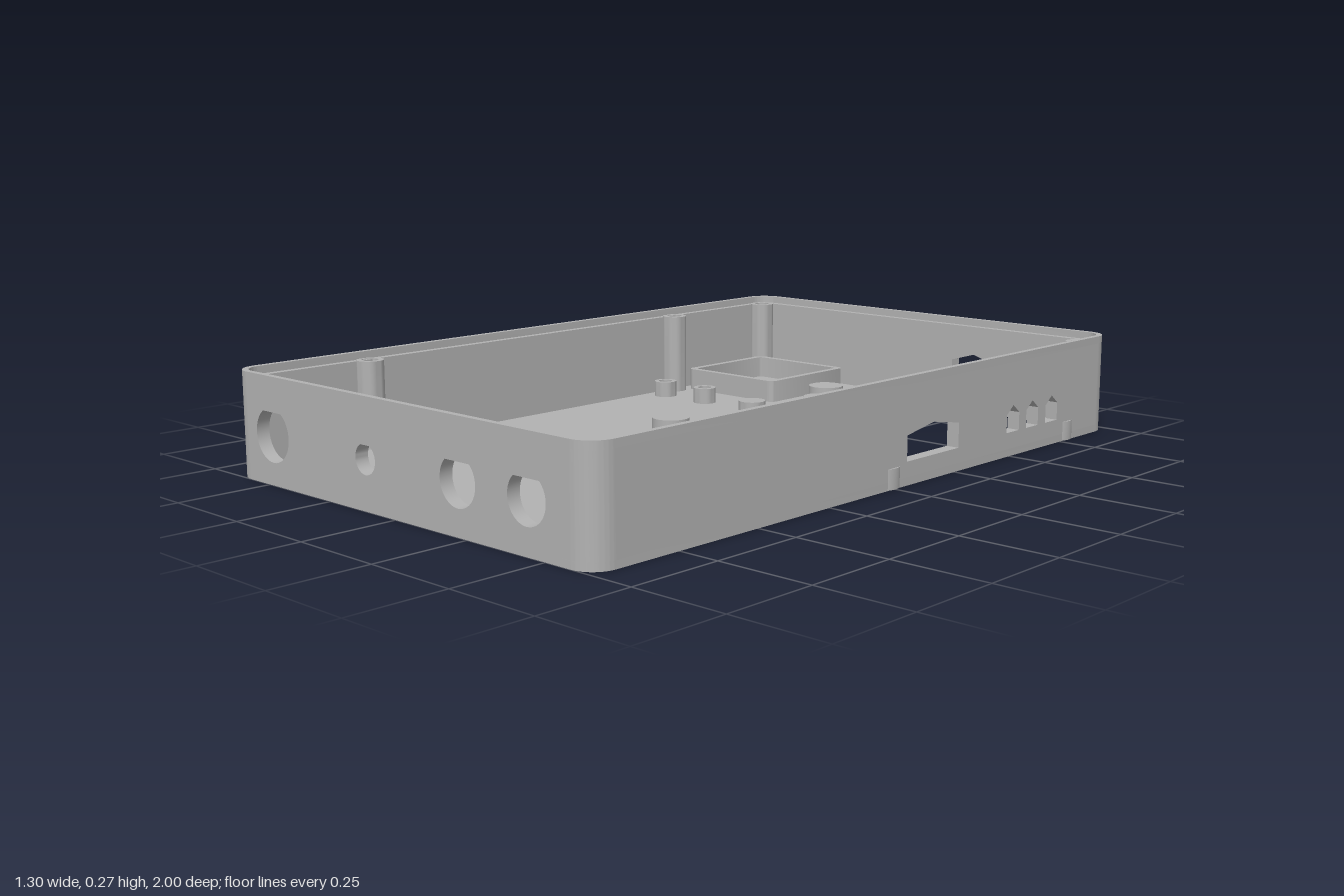
import * as THREE from 'three';
import { toCreasedNormals } from 'three/addons/utils/BufferGeometryUtils.js';

const CX = -0.003, HX = 0.645, HZ = 1;      // body centre and half sizes
const R = 0.065, T = 0.035, LIP = 0.016;    // corner radius, wall and lip thickness
const FLOOR = 0.02, LEDGE = 0.25, TOP = 0.27;

const shell = new THREE.MeshStandardMaterial({ color: 0xb2b2b2 });
shell.name = 'grey plastic';

export function createModel() {
  const model = new THREE.Group();
  model.name = 'enclosure';

  function add(name, geometry) {
    const mesh = new THREE.Mesh(toCreasedNormals(geometry, 0.5), shell);
    mesh.name = name;
    model.add(mesh);
    return mesh;
  }
  const extrude = (shape, depth) =>
    new THREE.ExtrudeGeometry(shape, { depth, bevelEnabled: false, curveSegments: 14 });
  // Plan outline (x, -z) raised from y0 to y1
  const slab = (shape, y0, y1) =>
    extrude(shape, y1 - y0).rotateX(-Math.PI / 2).translate(0, y0, 0);

  function roundRect(x0, x1, z0, z1, r, Type = THREE.Shape) {
    const s = new Type(), a = -z1, b = -z0, q = Math.PI / 2;
    s.moveTo(x0 + r, a);
    s.absarc(x1 - r, a + r, r, -q, 0, false);
    s.absarc(x1 - r, b - r, r, 0, q, false);
    s.absarc(x0 + r, b - r, r, q, 2 * q, false);
    s.absarc(x0 + r, a + r, r, 2 * q, 3 * q, false);
    s.closePath();
    return s;
  }
  function circle(x, y, r, Type = THREE.Path) {
    const c = new Type();
    c.absarc(x, y, r, 0, Math.PI * 2, false);
    return c;
  }
  const polygon = (pts, Type = THREE.Path) =>
    new Type(pts.map(([x, y]) => new THREE.Vector2(x, y)));
  const house = (x0, x1, y0, y1, peak) =>
    polygon([[x0, y0], [x1, y0], [x1, y1], [(x0 + x1) / 2, peak], [x0, y1]]);
  // Circle with a pointed top
  function teardrop(x, y, r, peak) {
    const a = Math.acos(r / (peak - y)), p = new THREE.Path();
    p.moveTo(x, peak);
    p.absarc(x, y, r, Math.PI / 2 + a, Math.PI * 2.5 - a, false);
    p.closePath();
    return p;
  }
  // Circle with a flat top
  function flatTop(x, y, r, top) {
    const a = Math.asin((top - y) / r), p = new THREE.Path();
    p.absarc(x, y, r, Math.PI - a, Math.PI * 2 + a, false);
    p.closePath();
    return p;
  }

  // Floor with screen window, vent slots and indicator holes
  const floor = roundRect(CX - HX, CX + HX, -HZ, HZ, R);
  floor.holes.push(roundRect(-0.133, 0.545, -0.945, 0.08, 0.07, THREE.Path));
  for (let i = 0; i < 5; i++) {
    const z = -0.83 + i * 0.044;
    floor.holes.push(roundRect(-0.51, -0.31, z - 0.01, z + 0.01, 0.0095, THREE.Path));
  }
  for (let i = 0; i < 4; i++) floor.holes.push(circle(0.25 + i * 0.055, -0.72, 0.012));
  floor.holes.push(circle(0.415, -0.535, 0.02));
  add('floor', slab(floor, 0, FLOOR));

  // Straight walls, drawn flat with their openings
  function wall(u0, u1, holes) {
    const s = polygon([[u0, FLOOR], [u1, FLOOR], [u1, LEDGE], [u0, LEDGE]], THREE.Shape);
    s.holes.push(...holes);
    return extrude(s, T);
  }
  const x0 = CX - HX + R, x1 = CX + HX - R, zr = HZ - R;
  add('frontWall', wall(x0, x1, [
    flatTop(-0.48, 0.125, 0.068, 0.182),
    flatTop(-0.107, 0.123, 0.037, 0.156),
    teardrop(0.222, 0.125, 0.06, 0.207),
    teardrop(0.445, 0.125, 0.06, 0.207),
  ]).translate(0, 0, HZ - T));
  add('backWall', wall(x0, x1, [house(0.135, 0.285, 0.05, 0.145, 0.167)])
    .translate(0, 0, -HZ));
  const ports = [house(0.048, 0.265, 0.06, 0.125, 0.143)];
  for (const u of [0.513, 0.605, 0.7])
    ports.push(house(u - 0.029, u + 0.029, 0.064, 0.112, 0.135));
  add('leftWall', wall(-zr, zr, ports).rotateY(Math.PI / 2).translate(CX + HX - T, 0, 0));
  add('rightWall', wall(-zr, zr, []).rotateY(Math.PI / 2).translate(CX - HX, 0, 0));

  // Rounded wall corners
  const corner = new THREE.Shape();
  corner.absarc(0, 0, R, 0, Math.PI / 2, false);
  corner.absarc(0, 0, R - T, Math.PI / 2, 0, true);
  corner.closePath();
  [[1, -1], [-1, -1], [-1, 1], [1, 1]].forEach(([sx, sz], i) =>
    add('wallCorner', slab(corner, FLOOR, LEDGE)
      .rotateY(i * Math.PI / 2).translate(CX + sx * (HX - R), 0, sz * zr)));

  // Thin lip standing on the outer edge of the walls
  const lip = roundRect(CX - HX, CX + HX, -HZ, HZ, R);
  lip.holes.push(roundRect(CX - HX + LIP, CX + HX - LIP, -HZ + LIP, HZ - LIP, R - LIP, THREE.Path));
  add('rimLip', slab(lip, LEDGE, TOP));

  // Hollow screw posts
  function post(name, x, z, r, bore, height) {
    const s = circle(0, 0, r, THREE.Shape);
    s.holes.push(circle(0, 0, bore));
    add(name, slab(s, FLOOR, height)).position.set(x, 0, z);
  }
  for (const [x, z] of [[-0.592, -0.93], [0.585, -0.925], [-0.6, -0.527],
    [0.587, 0.225], [-0.6, 0.62], [0.583, 0.915]])
    post('lidScrewPost', x, z, 0.036, 0.022, LEDGE + 0.002);
  for (const x of [-0.553, -0.39])
    for (const z of [-0.438, 0.385]) post('boardStandoff', x, z, 0.033, 0.02, 0.065);

  // Low round pads beside the window
  for (const [x, z, r] of [[-0.188, -0.765, 0.052], [-0.188, -0.423, 0.039], [-0.188, -0.083, 0.052],
    [0.596, -0.785, 0.052], [0.593, -0.39, 0.039], [0.596, 0.004, 0.052]])
    add('windowPad', new THREE.CylinderGeometry(r, r, 0.052, 32)).position.set(x, 0.027, z);

  // Raised frame around the vent
  const frame = roundRect(-0.583, -0.237, -0.912, -0.57, 0.02);
  frame.holes.push(roundRect(-0.564, -0.256, -0.893, -0.589, 0.008, THREE.Path));
  add('ventFrame', slab(frame, FLOOR, 0.083));

  return model;
}
